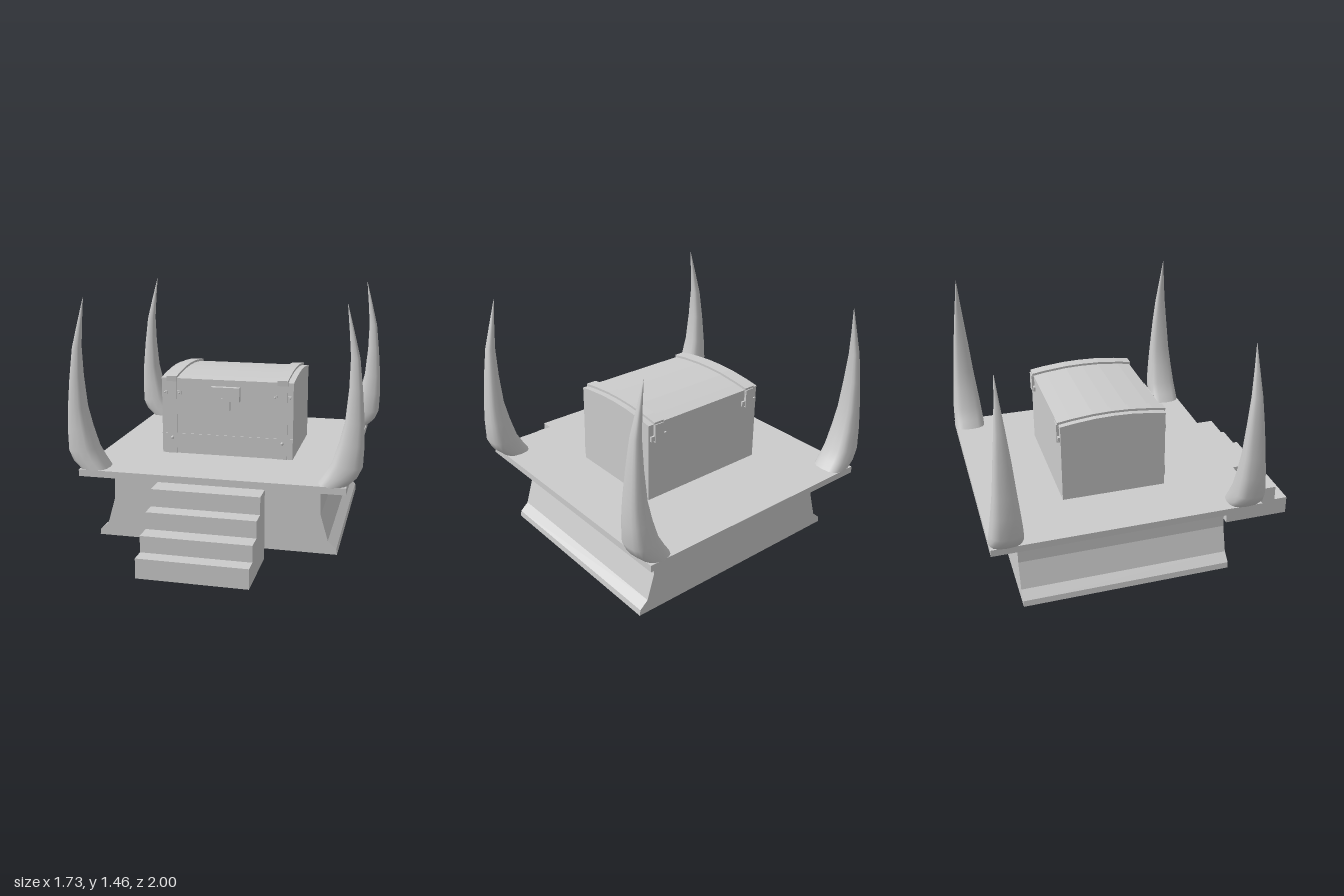
import * as THREE from 'three';

const mat = new THREE.MeshStandardMaterial({ color: 0xcccccc, flatShading: true });
const smoothMat = new THREE.MeshStandardMaterial({ color: 0xcccccc, side: THREE.DoubleSide });

function add(parent, name, geo, material = mat) {
  const mesh = new THREE.Mesh(geo, material);
  mesh.name = name;
  parent.add(mesh);
  return mesh;
}

// Box given by its limits on each axis
function box(parent, name, [x0, x1], [y0, y1], [z0, z1]) {
  const mesh = add(parent, name, new THREE.BoxGeometry(x1 - x0, y1 - y0, z1 - z0));
  mesh.position.set((x0 + x1) / 2, (y0 + y1) / 2, (z0 + z1) / 2);
  return mesh;
}

const shapeOf = pts => new THREE.Shape(pts.map(p => new THREE.Vector2(...p)));
const extrude = (pts, depth) => new THREE.ExtrudeGeometry(shapeOf(pts), { depth, bevelEnabled: false });

// Extrude a (z, y) profile across x
function sideExtrude(parent, name, pts, x0, x1) {
  const geo = extrude(pts, x1 - x0);
  geo.rotateY(-Math.PI / 2);
  geo.translate(x1, 0, 0);
  return add(parent, name, geo);
}

// Horn lofted through squarish rings: [inner x, inner y, outer x, outer y, half depth]
function hornGeometry() {
  const rings = [
    [0.615, 0.455, 0.775, 0.45, 0.095], [0.65, 0.51, 0.835, 0.505, 0.094],
    [0.69, 0.58, 0.86, 0.56, 0.09], [0.727, 0.7, 0.865, 0.69, 0.077],
    [0.755, 0.82, 0.861, 0.81, 0.064], [0.771, 1.0, 0.846, 0.99, 0.048],
    [0.775, 1.17, 0.826, 1.165, 0.03], [0.764, 1.31, 0.79, 1.31, 0.015],
    [0.75, 1.455, 0.752, 1.455, 0.001],
  ];
  const sides = 16, pos = [], index = [];
  const soft = v => Math.sign(v) * Math.abs(v) ** 0.72;
  rings.forEach(([ix, iy, ox, oy, d], r) => {
    for (let s = 0; s < sides; s++) {
      const a = (s / sides) * Math.PI * 2;
      const t = (1 + soft(Math.cos(a))) / 2;
      pos.push(ix + (ox - ix) * t, iy + (oy - iy) * t, d * soft(Math.sin(a)));
      if (r === 0) continue;
      const n = (s + 1) % sides, lo = (r - 1) * sides, hi = r * sides;
      index.push(lo + s, hi + s, lo + n, lo + n, hi + s, hi + n);
    }
  });
  const geo = new THREE.BufferGeometry();
  geo.setAttribute('position', new THREE.Float32BufferAttribute(pos, 3));
  geo.setIndex(index);
  geo.computeVertexNormals();
  return geo;
}

export function createModel() {
  const model = new THREE.Group();
  model.name = 'chestShrine';

  // Flared plinth and slab
  const flare = [[0.725, 0], [0.72, 0.035], [0.67, 0.08], [0.625, 0.235], [0.62, 0.42]];
  const mirrored = flare.map(([x, y]) => [-x, y]).reverse();
  add(model, 'plinth', extrude([...flare, ...mirrored], 1.24)).position.z = -0.83;
  box(model, 'slab', [-0.78, 0.78], [0.42, 0.46], [-0.995, 0.575]);

  // Steps
  sideExtrude(model, 'steps', [
    [0.58, 0.01], [1, 0.01], [1, 0.125], [0.913, 0.125], [0.913, 0.22], [0.808, 0.22],
    [0.808, 0.318], [0.71, 0.318], [0.71, 0.42], [0.58, 0.42],
  ], -0.295, 0.33);

  // Corner horns
  const horn = hornGeometry();
  for (const side of [-1, 1]) {
    for (const z of [0.482, -0.902]) {
      const mesh = add(model, 'horn', horn, smoothMat);
      mesh.rotation.y = side > 0 ? 0 : Math.PI;
      mesh.position.z = z;
    }
  }

  // Chest body and arched lid
  const chest = new THREE.Group();
  chest.name = 'chest';
  model.add(chest);
  box(chest, 'chestBody', [-0.41, 0.41], [0.46, 0.93], [-0.515, 0.105]);
  const arch = [[0.107, 0.935], [0.03, 0.947], [-0.1, 0.96], [-0.205, 0.963], [-0.31, 0.96], [-0.44, 0.947], [-0.517, 0.935]];
  sideExtrude(chest, 'lid', [[-0.517, 0.925], [0.107, 0.925], ...arch], -0.412, 0.412);

  // Straps, hinges and rivets on each side
  const raised = arch.map(([z, y]) => [-0.205 + (z + 0.205) * 1.025, y + 0.013]);
  for (const s of [-1, 1]) {
    const cx = s * 0.345;
    const span = (w, c = cx) => [c - w / 2, c + w / 2];
    sideExtrude(chest, 'lidStrap', [[-0.522, 0.915], [0.112, 0.915], ...raised], cx - 0.032, cx + 0.032);
    box(chest, 'frontStrap', span(0.06), [0.46, 0.925], [0.1, 0.111]);
    box(chest, 'hingeLeaf', span(0.06), [0.825, 0.935], [-0.53, -0.51]);
    box(chest, 'hingeBar', span(0.11), [0.835, 0.865], [-0.526, -0.51]);
    for (const o of [-0.046, 0.046]) {
      box(chest, 'strapTab', span(0.03, cx + o), [0.832, 0.856], [0.1, 0.111]);
      const pin = add(chest, 'tabPin', new THREE.SphereGeometry(0.006, 8, 6), smoothMat);
      pin.position.set(cx + o, 0.844, 0.111);
    }
    const rivet = add(chest, 'rivet', new THREE.SphereGeometry(0.01, 10, 8), smoothMat);
    rivet.position.set(cx, 0.56, 0.111);
  }
  box(chest, 'frontBand', [-0.41, 0.41], [0.53, 0.588], [0.1, 0.109]);

  // Latch
  box(chest, 'latchPlate', [-0.093, 0.085], [0.81, 0.895], [0.1, 0.138]);
  box(chest, 'latchTongue', [-0.032, 0.024], [0.752, 0.83], [0.1, 0.14]);

  return model;
}
